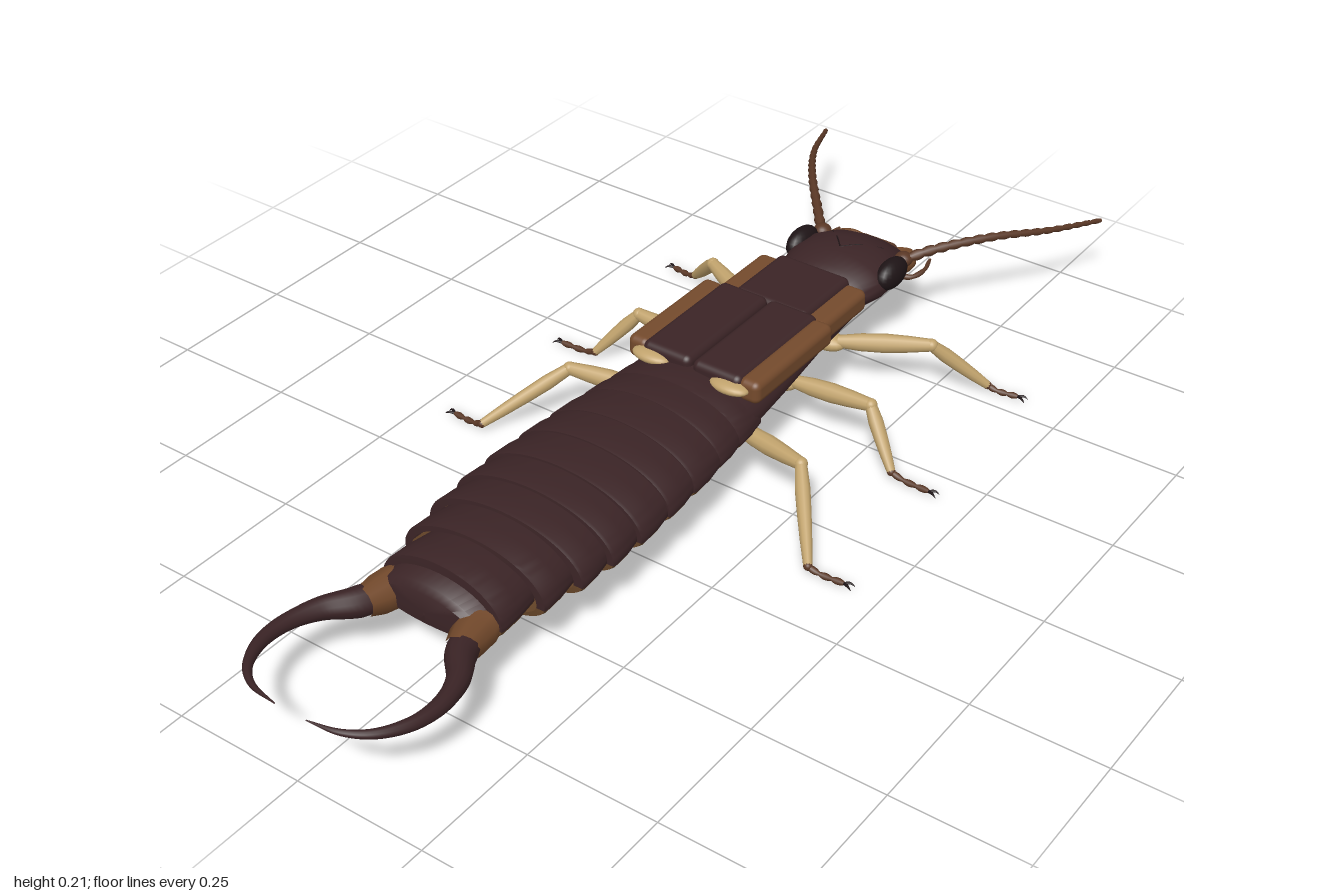
import * as THREE from 'three';
import { toCreasedNormals } from 'three/addons/utils/BufferGeometryUtils.js';
import { RoundedBoxGeometry } from 'three/addons/geometries/RoundedBoxGeometry.js';

const mat = (name, color, side = THREE.FrontSide) => {
  const m = new THREE.MeshStandardMaterial({ color, side });
  m.name = name;
  return m;
};

export function createModel() {
  const root = new THREE.Group();
  root.name = 'earwig';
  const shell = mat('dark shell', 0x3b2426, THREE.DoubleSide);
  const belly = mat('belly brown', 0x664528, THREE.DoubleSide);
  const brown = mat('margin brown', 0x744a2c);
  const tan = mat('leg tan', 0xc0a26c);
  const horn = mat('antenna brown', 0x5a3826);
  const black = mat('eye black', 0x1e1416);

  const add = (name, geo, material, parent = root) => {
    const m = new THREE.Mesh(geo, material);
    m.name = name;
    parent.add(m);
    return m;
  };

  // Skin over lens-shaped sections [z, halfWidth, bottom, side, top], z rising, over an arc a0..a1
  const loft = (sections, a0 = 0, a1 = Math.PI * 2, n = 40) => {
    const pos = [], idx = [];
    sections.forEach(([z, w, yb, ys, yt], i) => {
      for (let j = 0; j <= n; j++) {
        const a = a0 + (a1 - a0) * j / n, s = Math.sin(a);
        pos.push(w * Math.cos(a), ys + (s > 0 ? yt - ys : ys - yb) * s, z);
        if (i && j) {
          const p = (i - 1) * (n + 1) + j - 1, q = p + n + 1;
          idx.push(p, p + 1, q + 1, p, q + 1, q);
        }
      }
    });
    const g = new THREE.BufferGeometry();
    g.setAttribute('position', new THREE.Float32BufferAttribute(pos, 3));
    g.setIndex(idx);
    return toCreasedNormals(g, 0.7);
  };

  // Tube along points whose radius follows a function of 0..1
  const taper = (pts, radius, n = 24, sides = 10) => {
    const curve = new THREE.CatmullRomCurve3(pts.map(p => new THREE.Vector3(...p)));
    const g = new THREE.TubeGeometry(curve, n, 1, sides);
    const p = g.attributes.position, v = new THREE.Vector3();
    for (let i = 0; i <= n; i++) {
      const c = curve.getPointAt(i / n), r = radius(i / n);
      for (let j = 0; j <= sides; j++) {
        const k = i * (sides + 1) + j;
        v.fromBufferAttribute(p, k).sub(c).multiplyScalar(r).add(c);
        p.setXYZ(k, v.x, v.y, v.z);
      }
    }
    return g;
  };
  const ramp = (list) => (t) => {
    const f = t * (list.length - 1), i = Math.min(Math.floor(f), list.length - 2);
    return list[i] + (list[i + 1] - list[i]) * (f - i);
  };
  const ball = (name, p, r, material, parent) => {
    const m = add(name, new THREE.SphereGeometry(1, 20, 14), material, parent);
    m.position.set(...p);
    m.scale.set(...r);
    return m;
  };
  const plate = (name, x0, x1, y0, y1, z0, z1, material) => {
    const g = new RoundedBoxGeometry(x1 - x0, y1 - y0, z1 - z0, 4, 0.014);
    add(name, g, material).position.set((x0 + x1) / 2, (y0 + y1) / 2, (z0 + z1) / 2);
  };

  // Abdomen: overlapping rings, dark above and brown below
  const edges = [-0.05, 0.02, 0.09, 0.175, 0.255, 0.34, 0.415, 0.49, 0.57, 0.65];
  const widths = [0.148, 0.155, 0.163, 0.168, 0.172, 0.17, 0.164, 0.149, 0.126];
  const abdomen = new THREE.Group();
  abdomen.name = 'abdomen';
  root.add(abdomen);
  widths.forEach((w, i) => {
    const z0 = edges[i] - 0.012, z1 = edges[i + 1], ys = 0.12;
    const top = 0.195 + 0.008 * Math.sin(i / 8 * Math.PI), bot = i < 2 ? 0.08 : 0.072;
    const ring = (z, k) => [z, w * k, ys + (bot - ys) * k, ys, ys + (top - ys) * k];
    const rings = [ring(z0, 0.93), ring((z0 + z1) / 2, 0.985), ring(z1 - 0.006, 1), ring(z1, 0.985), ring(z1 + 0.001, 0.88)];
    if (i === 8) rings.push(ring(z1 + 0.002, 0.01));
    add('upperRing', loft(rings, -0.12, Math.PI + 0.12), shell, abdomen);
    add('lowerRing', loft(rings, Math.PI + 0.12, Math.PI * 2 - 0.12), belly, abdomen);
  });
  add('tailPlate', loft([[0.63, 0.112, 0.085, 0.12, 0.182], [0.68, 0.108, 0.095, 0.12, 0.172],
    [0.69, 0.098, 0.1, 0.122, 0.16], [0.693, 0.001, 0.12, 0.122, 0.125]]), shell, abdomen);

  // Thorax
  add('thorax', loft([[-0.475, 0.001, 0.13, 0.14, 0.15], [-0.47, 0.075, 0.11, 0.14, 0.175],
    [-0.44, 0.1, 0.098, 0.14, 0.188], [-0.3, 0.112, 0.09, 0.14, 0.194],
    [-0.15, 0.13, 0.086, 0.135, 0.196], [0, 0.142, 0.085, 0.125, 0.19]]), shell);
  plate('pronotum', -0.08, 0.08, 0.16, 0.204, -0.45, -0.288, shell);

  // Head
  add('head', loft([[-0.678, 0.001, 0.125, 0.13, 0.135], [-0.675, 0.06, 0.115, 0.13, 0.148],
    [-0.66, 0.08, 0.11, 0.135, 0.163], [-0.62, 0.093, 0.103, 0.142, 0.188], [-0.575, 0.108, 0.1, 0.148, 0.202],
    [-0.52, 0.11, 0.1, 0.148, 0.202], [-0.48, 0.099, 0.104, 0.145, 0.192],
    [-0.455, 0.085, 0.11, 0.142, 0.178], [-0.44, 0.07, 0.115, 0.14, 0.165]]), shell);
  plate('upperLip', -0.045, 0.045, 0.118, 0.15, -0.69, -0.65, horn);

  for (const s of [1, -1]) {
    const m = (pts) => pts.map(([x, y, z]) => [x * s, y, z]);
    const span = (a, b) => s > 0 ? [a, b] : [-b, -a];

    // Wing cases, pronotum margins and folded wing tips
    plate('pronotumMargin', ...span(0.07, 0.12), 0.148, 0.194, -0.445, -0.288, brown);
    plate('wingCase', ...span(0.002, 0.107), 0.165, 0.211, -0.295, -0.035, shell);
    plate('wingCaseMargin', ...span(0.098, 0.143), 0.162, 0.208, -0.29, -0.04, brown);
    ball('wingTip', [0.085 * s, 0.188, -0.037], [0.04, 0.012, 0.022], tan);

    // Eyes, forehead seam and mouthparts
    ball('eye', [0.102 * s, 0.165, -0.56], [0.023, 0.03, 0.046], black);
    add('headSeam', taper(m([[0, 0.201, -0.535], [0.03, 0.198, -0.57], [0.058, 0.184, -0.6]]), () => 0.002, 8, 6), black);
    add('mandible', taper(m([[0.07, 0.132, -0.62], [0.077, 0.132, -0.665], [0.06, 0.13, -0.69], [0.03, 0.128, -0.7]]),
      ramp([0.014, 0.019, 0.014, 0.002])), brown);
    add('palp', taper(m([[0.075, 0.118, -0.63], [0.1, 0.115, -0.64], [0.112, 0.12, -0.67], [0.105, 0.125, -0.705]]),
      t => 0.0065 * (1 - 0.4 * t) * (0.75 + 0.25 * Math.abs(Math.sin(t * 9.42))), 24, 8), horn);

    // Beaded antennae
    ball('antennaBase', [0.093 * s, 0.164, -0.62], [0.018, 0.015, 0.018], horn);
    add('antenna', taper(m([[0.088, 0.162, -0.61], [0.13, 0.177, -0.66], [0.205, 0.186, -0.755],
      [0.275, 0.171, -0.87], [0.326, 0.15, -0.998]]),
      t => (0.0115 - 0.0065 * t) * (0.72 + 0.28 * Math.abs(Math.sin(t * Math.PI * 18))), 144, 8), horn);

    // Legs: hip, thigh, knee, shin, foot
    const legs = [
      ['frontLeg', [0.095, -0.385], [0.25, -0.468], [0.34, -0.535], [0.4, -0.545]],
      ['middleLeg', [0.1, -0.225], [0.26, -0.235], [0.335, -0.192], [0.415, -0.19]],
      ['hindLeg', [0.1, -0.045], [0.255, -0.012], [0.36, 0.122], [0.43, 0.117]],
    ];
    for (const [name, hip, knee, ankle, toe] of legs) {
      const leg = new THREE.Group();
      leg.name = name;
      root.add(leg);
      const at = ([x, z], y) => [x * s, y, z];
      const H = at(hip, 0.1), K = at(knee, 0.106), A = at(ankle, 0.014), T = at(toe, 0.006);
      ball('hip', [0.07 * s, 0.094, hip[1]], [0.04, 0.018, 0.025], tan, leg);
      add('thigh', taper([H, K], ramp([0.012, 0.017, 0.0185, 0.016, 0.012]), 16), tan, leg);
      ball('knee', K, [0.0125, 0.0125, 0.0125], tan, leg);
      add('shin', taper([K, A], ramp([0.011, 0.014, 0.013, 0.011, 0.008]), 16), tan, leg);
      ball('ankle', A, [0.008, 0.008, 0.008], horn, leg);
      add('foot', taper([A, [(A[0] * 0.7 + T[0] * 0.3), 0.007, A[2] * 0.7 + T[2] * 0.3], T],
        t => 0.0035 + 0.0028 * Math.abs(Math.sin(t * 9.42)), 24, 8), horn, leg);
      for (const d of [-1, 1]) {
        add('claw', taper([T, [T[0] + 0.01 * s, 0.008, T[2] + 0.005 * d], [T[0] + 0.018 * s, 0.003, T[2] + 0.007 * d]],
          ramp([0.003, 0.0025, 0.0005]), 6, 6), black, leg);
      }
    }

    // Pincers with a brown cuff and inner teeth
    add('pincerCuff', taper(m([[0.088, 0.118, 0.64], [0.09, 0.118, 0.67], [0.1, 0.12, 0.725]]),
      ramp([0.03, 0.036, 0.034, 0.026])), brown);
    add('pincer', taper(m([[0.088, 0.118, 0.68], [0.108, 0.12, 0.73], [0.144, 0.122, 0.78], [0.162, 0.125, 0.84],
      [0.158, 0.129, 0.9], [0.13, 0.134, 0.955], [0.09, 0.138, 0.985], [0.032, 0.14, 0.997]]),
      ramp([0.026, 0.027, 0.021, 0.016, 0.0135, 0.011, 0.008, 0.005, 0.001]), 48, 12), shell);
    for (let i = 0; i < 3; i++) {
      const x = 0.084 + i * 0.012, z = 0.715 + i * 0.017;
      add('pincerTooth', taper(m([[x + 0.012, 0.12, z - 0.005], [x - 0.012, 0.12, z + 0.007]]),
        ramp([0.009, 0.001]), 4, 8), shell);
    }
  }
  return root;
}
